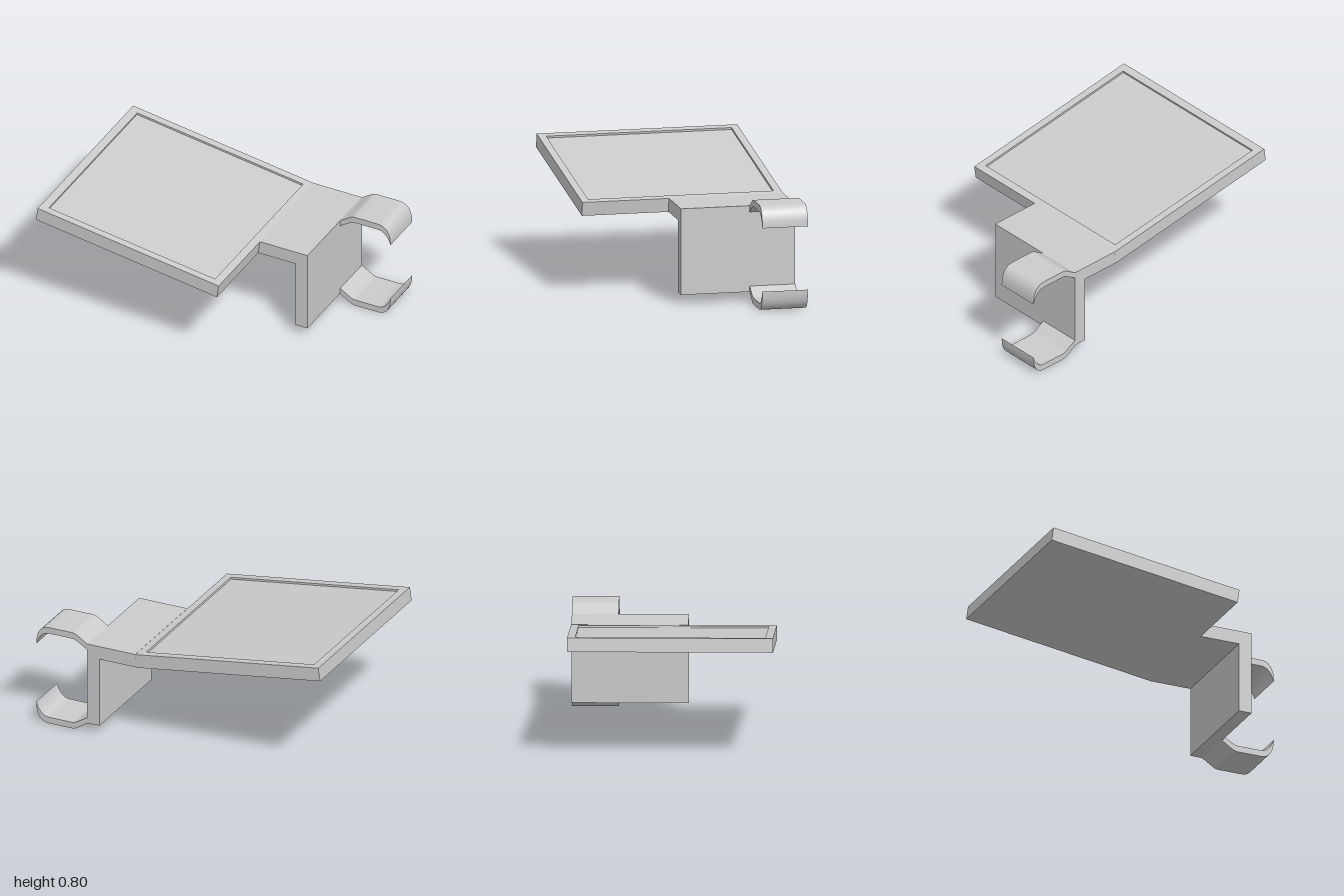
import * as THREE from 'three';
import { toCreasedNormals } from 'three/addons/utils/BufferGeometryUtils.js';

const material = new THREE.MeshStandardMaterial({ color: 0xcccccc });

function part(name, geometry) {
  const mesh = new THREE.Mesh(geometry, material);
  mesh.name = name;
  return mesh;
}

// Extrude a front profile between two depths
function extrude(shape, z0, z1) {
  return new THREE.ExtrudeGeometry(shape, { depth: z1 - z0, bevelEnabled: false, curveSegments: 10 })
    .translate(0, 0, z0);
}

const polygon = (points) => new THREE.Shape(points.map(([x, y]) => new THREE.Vector2(x, y)));
const rectangle = (x0, y0, x1, y1) => [[x0, y0], [x1, y0], [x1, y1], [x0, y1]];

// Clip arm, thinning to a hooked tip; flip mirrors it about mid height 0.336
function clipArm(flip) {
  const y = (v) => (flip ? 0.672 - v : v);
  const s = new THREE.Shape();
  s.moveTo(0.63, y(0.61));
  s.lineTo(0.642, y(0.615));
  s.lineTo(0.705, y(0.656));
  s.quadraticCurveTo(0.728, y(0.672), 0.75, y(0.672));
  s.lineTo(0.91, y(0.672));
  s.bezierCurveTo(0.965, y(0.672), 1, y(0.63), 1, y(0.54));
  s.bezierCurveTo(0.98, y(0.6), 0.95, y(0.63), 0.91, y(0.63));
  s.lineTo(0.75, y(0.63));
  s.quadraticCurveTo(0.73, y(0.63), 0.71, y(0.617));
  s.lineTo(0.642, y(0.575));
  s.lineTo(0.63, y(0.575));
  s.closePath();
  return toCreasedNormals(extrude(s, -0.65, -0.355), 0.5);
}

export function createModel() {
  const model = new THREE.Group();

  // Sloping tray: base slab plus a raised rim around a shallow recess
  const length = 1.303, thickness = 0.09, recess = 0.013;
  const tray = new THREE.Group();
  tray.name = 'tray';
  const base = polygon(rectangle(0, -0.65, length, 0.65));
  const rim = base.clone();
  rim.holes.push(new THREE.Path(polygon(rectangle(0.055, -0.6, 1.25, 0.6)).getPoints()));
  tray.add(
    part('trayBase', extrude(base, 0, thickness - recess).rotateX(-Math.PI / 2)),
    part('trayRim', extrude(rim, thickness - recess, thickness).rotateX(-Math.PI / 2)),
  );
  tray.position.set(-1, 0.71, 0);
  tray.rotation.z = -Math.atan2(0.185, 1.29);
  model.add(tray);

  // Level bridge and upright mounting plate in one bent bracket
  const bracket = polygon([
    [0.29, 0.526], [0.555, 0.526], [0.555, 0.06], [0.642, 0.06], [0.642, 0.615], [0.303, 0.615],
  ]);
  model.add(part('bracket', extrude(bracket, -0.65, 0.09)));

  // Pair of opposed clip arms
  model.add(part('upperClip', clipArm(false)), part('lowerClip', clipArm(true)));

  return model;
}
